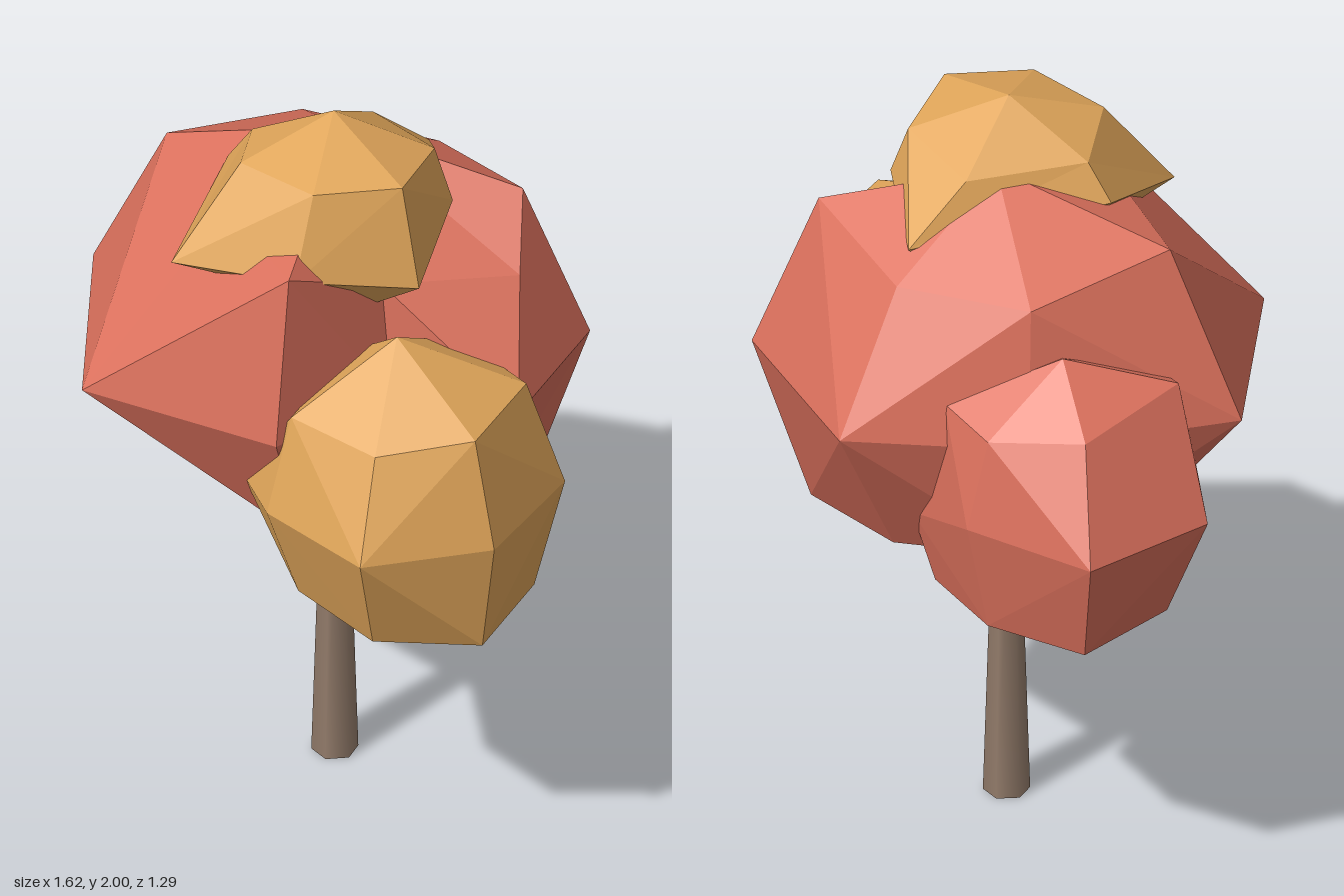
import * as THREE from 'three';

const red = new THREE.MeshStandardMaterial({ name: 'redLeaves', color: 0xdc715d });
const gold = new THREE.MeshStandardMaterial({ name: 'goldLeaves', color: 0xe1a65a });
const bark = new THREE.MeshStandardMaterial({ name: 'bark', color: 0x927b6a });

// Faceted foliage clump: top pole, rings from high to low, bottom pole
function clump(name, material, top, rings, bottom) {
  const toV = (p) => new THREE.Vector3(...p);
  const T = toV(top), B = toV(bottom);
  const R = rings.map((ring) => ring.map(toV));
  const n = R[0].length;
  const centre = R[1].reduce((s, v) => s.add(v), new THREE.Vector3()).divideScalar(n);
  const pos = [];
  const tri = (...vs) => vs.forEach((v) => pos.push(v.x, v.y, v.z));
  const midDist = (p, q) => p.clone().add(q).multiplyScalar(0.5).distanceTo(centre);
  for (let i = 0; i < n; i++) {
    const j = (i + 1) % n;
    tri(T, R[0][i], R[0][j]);
    for (let k = 0; k < R.length - 1; k++) {
      const a = R[k][i], b = R[k + 1][i], c = R[k + 1][j], d = R[k][j];
      // split each quad along its outward fold
      if (midDist(a, c) > midDist(b, d)) { tri(a, b, c); tri(a, c, d); }
      else { tri(a, b, d); tri(b, c, d); }
    }
    const last = R[R.length - 1];
    tri(last[i], B, last[j]);
  }
  const geo = new THREE.BufferGeometry();
  geo.setAttribute('position', new THREE.Float32BufferAttribute(pos, 3));
  geo.computeVertexNormals();
  const mesh = new THREE.Mesh(geo, material);
  mesh.name = name;
  return mesh;
}

export function createModel() {
  const tree = new THREE.Group();
  tree.name = 'tree';

  // Tapered six-sided trunk, running up into the leaves
  const trunk = new THREE.Mesh(new THREE.CylinderGeometry(0.03, 0.06, 1, 6), bark);
  trunk.name = 'trunk';
  trunk.position.set(-0.012, 0.5, -0.043);
  trunk.rotation.y = Math.PI / 6;
  tree.add(trunk);

  // Large central crown with a notch on its left side
  tree.add(clump('mainCrown', red, [-0.05, 1.86, -0.1], [
    [[-0.45, 1.73, 0.16], [-0.08, 1.73, 0.25], [0.29, 1.75, 0.33], [0.27, 1.6, 0.02],
      [0.4, 1.56, -0.32], [0.28, 1.72, -0.42], [-0.1, 1.65, -0.44], [-0.41, 1.66, -0.24]],
    [[-0.64, 1.29, 0.25], [-0.17, 1.29, 0.64], [0.33, 1.29, 0.4], [0.31, 1.29, 0.02],
      [0.58, 1.29, -0.18], [0.39, 1.29, -0.55], [-0.15, 1.29, -0.65], [-0.46, 1.29, -0.28]],
    [[-0.38, 0.91, 0.1], [-0.08, 0.98, 0.25], [0.23, 0.9, 0.25], [0.25, 0.87, 0],
      [0.4, 0.86, -0.2], [0.3, 0.84, -0.43], [-0.07, 0.88, -0.43], [-0.36, 0.9, -0.2]],
  ], [-0.01, 0.79, -0.03]));

  // Low clump on the right
  tree.add(clump('rightClump', red, [-0.48, 1.54, -0.19], [
    [[-0.67, 1.4, -0.25], [-0.62, 1.45, 0.07], [-0.42, 1.38, 0.13],
      [-0.2, 1.36, 0], [-0.3, 1.4, -0.43], [-0.48, 1.37, -0.42]],
    [[-0.81, 1.12, -0.33], [-0.78, 1.12, 0.05], [-0.52, 1.13, 0.19],
      [-0.15, 1.1, 0.1], [-0.14, 1, -0.42], [-0.46, 1.12, -0.47]],
    [[-0.71, 0.81, -0.28], [-0.67, 0.83, 0], [-0.42, 0.85, 0.14],
      [-0.13, 0.86, 0.08], [-0.17, 0.8, -0.37], [-0.45, 0.81, -0.4]],
  ], [-0.41, 0.685, -0.13]));

  // Low clump on the left
  tree.add(clump('leftClump', gold, [0.4, 1.53, 0.07], [
    [[0.2, 1.38, 0.07], [0.34, 1.37, 0.36], [0.6, 1.36, 0.29],
      [0.73, 1.39, 0.07], [0.6, 1.39, -0.19], [0.34, 1.38, -0.19]],
    [[0.13, 1.09, 0.36], [0.33, 1.1, 0.43], [0.67, 1.1, 0.39],
      [0.81, 1.1, 0.07], [0.67, 1.1, -0.26], [0.32, 1.1, -0.28]],
    [[0.1, 0.82, 0.2], [0.33, 0.82, 0.33], [0.59, 0.79, 0.29],
      [0.76, 0.78, 0.07], [0.62, 0.78, -0.2], [0.32, 0.79, -0.2]],
  ], [0.41, 0.775, 0.07]));

  // Cap clump on the top
  tree.add(clump('topClump', gold, [0.04, 2, 0], [
    [[-0.17, 1.87, 0.1], [-0.02, 1.91, 0.25], [0.22, 1.92, 0.2],
      [0.33, 1.92, 0], [0.2, 1.89, -0.2], [-0.06, 1.86, -0.2]],
    [[-0.23, 1.77, 0.13], [-0.06, 1.66, 0.44], [0.25, 1.7, 0.28],
      [0.4, 1.65, 0], [0.25, 1.75, -0.22], [-0.05, 1.71, -0.37]],
    [[-0.12, 1.62, 0.1], [-0.03, 1.63, 0.32], [0.18, 1.61, 0.22],
      [0.28, 1.56, 0.04], [0.18, 1.55, -0.12], [-0.03, 1.55, -0.2]],
  ], [0.04, 1.5, 0]));

  return tree;
}
